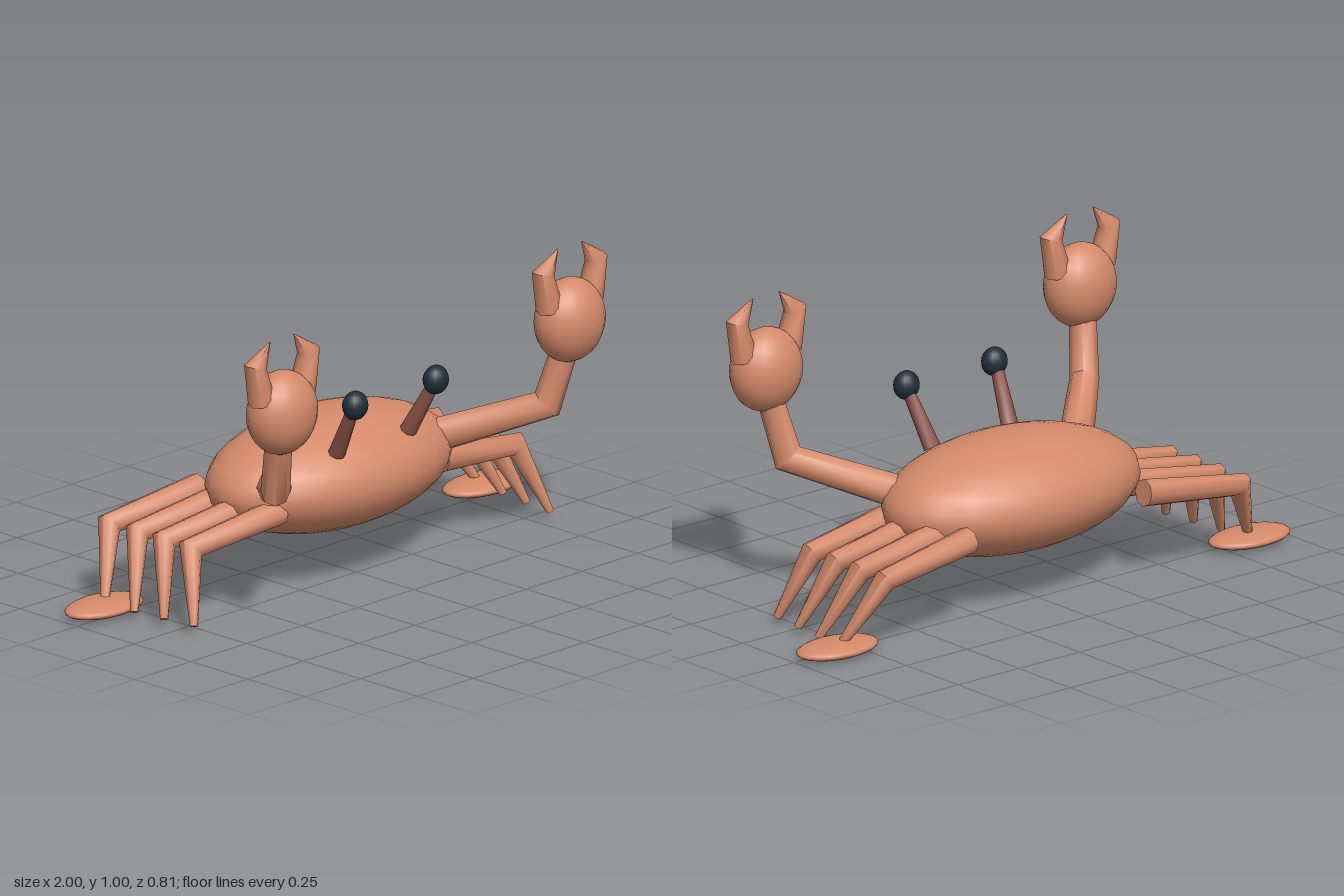
import * as THREE from 'three';
import { toCreasedNormals } from 'three/addons/utils/BufferGeometryUtils.js';

const paint = (name, color) => {
  const m = new THREE.MeshStandardMaterial({ color });
  m.name = name;
  return m;
};

// Tapered, closed tube through a few joints, mitred at each bend
function limbGeometry(points, radii, sides = 8) {
  const p = points.map((a) => new THREE.Vector3(...a));
  const dirs = p.slice(1).map((b, i) => b.clone().sub(p[i]).normalize());
  const first = dirs[0];
  const helper = Math.abs(first.y) > 0.8 ? new THREE.Vector3(0, 0, 1) : new THREE.Vector3(0, 1, 0);
  const u = helper.cross(first).normalize();
  const v = first.clone().cross(u);
  const pos = [];
  const index = [];
  const twist = new THREE.Quaternion();
  p.forEach((c, i) => {
    const before = dirs[Math.max(i - 1, 0)];
    const after = dirs[Math.min(i, dirs.length - 1)];
    const plane = before.clone().add(after).normalize();
    for (let k = 0; k < sides; k++) {
      const a = (k / sides) * Math.PI * 2;
      const o = u.clone().multiplyScalar(Math.cos(a) * radii[i]).addScaledVector(v, Math.sin(a) * radii[i]);
      o.addScaledVector(before, -o.dot(plane) / before.dot(plane));
      pos.push(c.x + o.x, c.y + o.y, c.z + o.z);
    }
    twist.setFromUnitVectors(before, after);
    u.applyQuaternion(twist);
    v.applyQuaternion(twist);
  });
  const n = p.length;
  pos.push(...points[0], ...points[n - 1]);
  for (let k = 0; k < sides; k++) {
    const k2 = (k + 1) % sides;
    for (let i = 0; i < n - 1; i++) {
      const a = i * sides + k, b = i * sides + k2;
      index.push(a, b, b + sides, a, b + sides, a + sides);
    }
    const end = (n - 1) * sides;
    index.push(n * sides, k2, k, n * sides + 1, end + k, end + k2);
  }
  const g = new THREE.BufferGeometry();
  g.setAttribute('position', new THREE.Float32BufferAttribute(pos, 3));
  g.setIndex(index);
  return toCreasedNormals(g, 0.9);
}

export function createModel() {
  const shell = paint('terracotta shell', 0xd48a6a);
  const stalk = paint('brown stalk', 0x8c544a);
  const dark = paint('dark eye', 0x1f2e38);
  const crab = new THREE.Group();
  crab.name = 'crab';

  const add = (name, geometry, material) => {
    const mesh = new THREE.Mesh(geometry, material);
    mesh.name = name;
    crab.add(mesh);
    return mesh;
  };
  const ellipsoid = (name, center, radii, material, w = 20, h = 14) => {
    const mesh = add(name, new THREE.SphereGeometry(1, w, h), material);
    mesh.scale.set(...radii);
    mesh.position.set(...center);
  };

  ellipsoid('body', [0, 0.328, -0.122], [0.48, 0.188, 0.28], shell, 24, 16);

  for (const s of [1, -1]) {
    const side = s > 0 ? 'left' : 'right';
    const limb = (name, points, radii, material = shell) =>
      add(side + name, limbGeometry(points.map(([x, y, z]) => [s * x, y, z]), radii), material);

    // Eye on its stalk
    limb('EyeStalk', [[0.16, 0.45, 0.07], [0.182, 0.62, 0.162]], [0.028, 0.02], stalk);
    ellipsoid(side + 'Eye', [s * 0.181, 0.636, 0.171], [0.045, 0.047, 0.038], dark, 16, 12);

    // Arm, palm and pincers
    limb('Arm', [[0.375, 0.372, 0.005], [0.61, 0.47, 0.24], [0.643, 0.66, 0.287]], [0.056, 0.047, 0.043]);
    ellipsoid(side + 'Palm', [s * 0.646, 0.756, 0.304], [0.128, 0.137, 0.098], shell);
    for (const f of [1, -1]) {
      limb(f > 0 ? 'OuterPincer' : 'InnerPincer',
        [[0.09, 0.81], [0.119, 0.932], [0.054, 1]].map(([x, y]) => [0.646 + f * x, y, 0.304]),
        [0.044, 0.034, 0.002]);
    }

    // Four walking legs, front to back
    for (let i = 0; i < 4; i++) {
      const z = -0.117 * i;
      limb('Leg' + (i + 1), [
        [0.36, 0.292, 0.01 + z],
        [0.73, 0.248, (i === 3 ? -0.022 : -0.016) + z],
        [0.8 + 0.014 * i, 0.028, 0.068 + z],
      ], [0.045, 0.036, 0.013]);
    }

    // Swimming paddle under the last leg
    ellipsoid(side + 'Paddle', [s * 0.848, 0.028, -0.28], [0.152, 0.026, 0.09], shell);
  }
  return crab;
}
